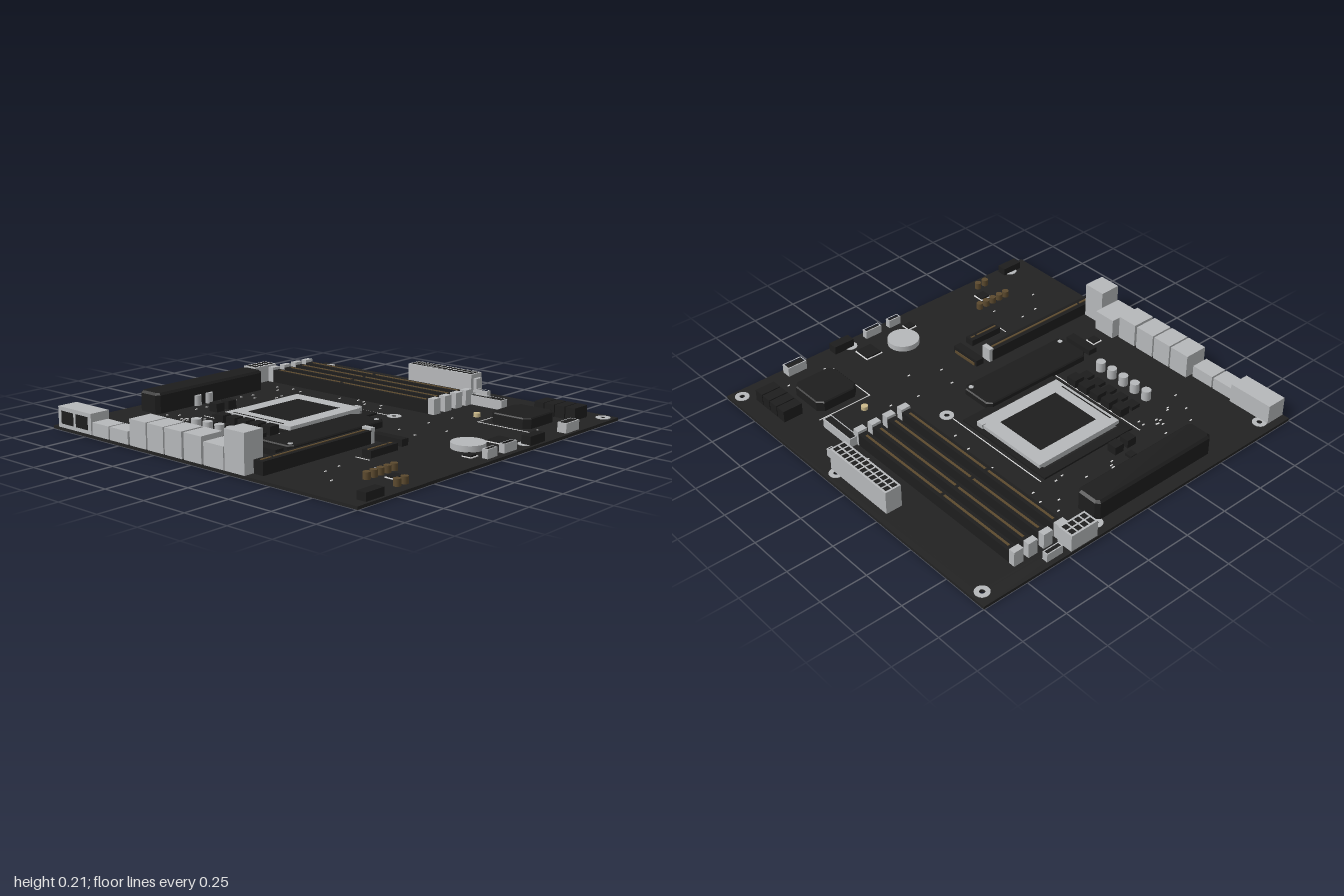
import * as THREE from 'three';

const mat = (name, color) => Object.assign(new THREE.MeshStandardMaterial({ color }), { name });

export function createModel() {
  const root = new THREE.Group();
  root.name = 'circuitBoard';
  const M = {
    board: mat('boardBlack', 0x222222),
    dark: mat('partBlack', 0x1d1d1d),
    silver: mat('lightGrey', 0xb6b8ba),
    white: mat('printWhite', 0xdedede),
    brown: mat('contactBrown', 0x5c4a2e),
    gold: mat('paleGold', 0xcbb98a),
  };
  const T = 0.015; // board thickness

  const add = (name, geo, m, parent = root) => {
    const mesh = new THREE.Mesh(geo, m);
    mesh.name = name;
    parent.add(mesh);
    return mesh;
  };
  const group = (name) => {
    const g = new THREE.Group();
    g.name = name;
    root.add(g);
    return g;
  };
  // Box given by its extents
  const box = (name, m, x0, x1, z0, z1, y1, y0 = T, parent = root) =>
    add(name, new THREE.BoxGeometry(x1 - x0, y1 - y0, z1 - z0)
      .translate((x0 + x1) / 2, (y0 + y1) / 2, (z0 + z1) / 2), m, parent);
  const disc = (name, m, x, z, r, y1, y0 = T, parent = root, n = 20) =>
    add(name, new THREE.CylinderGeometry(r, r, y1 - y0, n).translate(x, (y0 + y1) / 2, z), m, parent);
  // Rectangle outline in plan with cut corners
  const outline = (P, x0, x1, z0, z1, c = 0) => new P([
    [x0 + c, z0], [x1 - c, z0], [x1, z0 + c], [x1, z1 - c],
    [x1 - c, z1], [x0 + c, z1], [x0, z1 - c], [x0, z0 + c],
  ].filter((p, i) => c > 0 || i % 2 === 0).map(([x, z]) => new THREE.Vector2(x, -z)));
  const rise = (shape, y0, y1, bevel = 0) => new THREE.ExtrudeGeometry(shape, {
    depth: y1 - y0 - bevel, bevelEnabled: bevel > 0, bevelThickness: bevel, bevelSize: bevel,
    bevelOffset: -bevel, bevelSegments: 1, curveSegments: 16,
  }).rotateX(-Math.PI / 2).translate(0, y0, 0);
  const frame = (name, m, x0, x1, z0, z1, y1, w, y0 = T, parent = root) => {
    const s = outline(THREE.Shape, x0, x1, z0, z1);
    s.holes.push(outline(THREE.Path, x0 + w, x1 - w, z0 + w, z1 - w));
    return add(name, rise(s, y0, y1), m, parent);
  };
  const slab = (name, x0, x1, z0, z1, y1, cut, bevel) =>
    add(name, rise(outline(THREE.Shape, x0, x1, z0, z1, cut), T, y1, bevel), M.dark);

  // Board with mounting holes and ringed pads
  const holes = [[-0.865, -0.925], [0.265, -0.925], [0.945, -0.925], [0.265, 0.14],
    [0.945, 0.14], [-0.865, 0.945], [0.265, 0.945], [0.945, 0.945]];
  const circle = (P, x, z, r) => new P().absarc(x, -z, r, 0, Math.PI * 2);
  const plan = outline(THREE.Shape, -1, 1, -1, 1);
  holes.forEach(([x, z]) => plan.holes.push(circle(THREE.Path, x, z, 0.014)));
  add('board', rise(plan, 0, T), M.board);
  holes.forEach(([x, z]) => {
    const ring = circle(THREE.Shape, x, z, 0.037);
    ring.holes.push(circle(THREE.Path, x, z, 0.014));
    add('mountingPad', rise(ring, T, T + 0.003), M.silver);
  });

  // Rear ports: z start, z end, inner x, height
  const ports = group('rearPorts');
  [[-0.96, -0.71, -0.885, 0.12], [-0.70, -0.58, -0.9, 0.08], [-0.57, -0.44, -0.9, 0.08],
    [-0.425, -0.31, -0.865, 0.145], [-0.30, -0.19, -0.865, 0.145], [-0.18, -0.065, -0.865, 0.145],
    [-0.05, 0.065, -0.865, 0.145], [0.08, 0.208, -0.83, 0.125], [0.215, 0.34, -0.88, 0.21],
  ].forEach(([z0, z1, x1, h]) => box('port', M.silver, -0.998, x1, z0, z1, h, T, ports));
  [[-0.935, -0.845], [-0.825, -0.735]].forEach(([z0, z1]) =>
    box('portOpening', M.dark, -1, -0.995, z0, z1, 0.1, 0.035, ports));

  // Heat sinks
  slab('upperHeatSink', -0.51, 0.255, -0.925, -0.78, 0.122, 0.02, 0.012);
  slab('lowerHeatSink', -0.6, 0.08, 0.03, 0.24, 0.05, 0.025, 0.006);
  slab('chipsetHeatSink', 0.485, 0.73, 0.57, 0.805, 0.07, 0.03, 0.006);
  [-0.565, 0.05].forEach((x) => disc('heatSinkScrew', M.silver, x, 0.205, 0.013, 0.053, 0.045));

  // Processor socket
  const socket = group('processorSocket');
  frame('socketBase', M.dark, -0.35, 0.235, -0.55, 0.05, 0.025, 0.05, T, socket);
  frame('socketBracket', M.silver, -0.325, 0.205, -0.48, -0.025, 0.045, 0.08, T, socket);
  box('processor', M.dark, -0.24, 0.12, -0.4, -0.1, 0.044, T, socket);
  box('socketLever', M.silver, 0.192, 0.212, -0.07, -0.03, 0.05, T, socket);
  box('bracketSlit', M.dark, -0.308, -0.302, -0.44, -0.09, 0.047, 0.04, socket);

  // Memory slots
  [0.444, 0.535, 0.626, 0.711].forEach((x) => {
    const slot = group('memorySlot');
    box('slotBody', M.dark, x - 0.025, x + 0.025, -0.87, 0.24, 0.082, T, slot);
    box('slotContacts', M.brown, x - 0.006, x + 0.006, -0.835, -0.385, 0.085, 0.08, slot);
    box('slotContacts', M.brown, x - 0.006, x + 0.006, -0.365, 0.205, 0.085, 0.08, slot);
    [[-0.9, -0.865], [0.237, 0.275]].forEach(([z0, z1]) =>
      box('slotClip', M.silver, x - 0.027, x + 0.027, z0, z1, 0.097, T, slot));
  });

  // Power connectors with a grid of sockets
  const power = (name, x0, x1, z0, z1, h, nx, nz) => {
    const g = group(name);
    box('connectorBody', M.silver, x0, x1, z0, z1, h, T, g);
    const dx = (x1 - x0 - 0.012) / nx, dz = (z1 - z0 - 0.012) / nz;
    for (let i = 0; i < nx; i++) for (let j = 0; j < nz; j++) {
      const x = x0 + 0.006 + i * dx, z = z0 + 0.006 + j * dz;
      box('pinSocket', M.dark, x + 0.005, x + dx - 0.005, z + 0.005, z + dz - 0.005, h + 0.001, h - 0.004, g);
    }
    return g;
  };
  const main = power('mainPowerConnector', 0.855, 0.945, -0.25, 0.18, 0.139, 2, 12);
  box('latch', M.silver, 0.875, 0.925, 0.18, 0.2, 0.115, 0.04, main);
  power('processorPowerConnector', 0.32, 0.482, -0.995, -0.905, 0.105, 4, 2);

  // Expansion slots
  const slot = group('expansionSlot');
  box('slotBody', M.dark, -0.945, -0.215, 0.345, 0.403, 0.08, T, slot);
  box('slotContacts', M.brown, -0.93, -0.865, 0.368, 0.38, 0.083, 0.078, slot);
  box('slotContacts', M.brown, -0.85, -0.235, 0.368, 0.38, 0.083, 0.078, slot);
  box('slotLatch', M.silver, -0.222, -0.195, 0.345, 0.403, 0.092, T, slot);
  box('smallSlot', M.dark, -0.415, -0.22, 0.515, 0.568, 0.05);
  box('smallSlotContacts', M.brown, -0.405, -0.275, 0.537, 0.547, 0.053, 0.048);
  box('smallSlotContacts', M.brown, -0.26, -0.235, 0.537, 0.547, 0.053, 0.048);
  box('sideSlot', M.dark, -0.165, -0.118, 0.36, 0.545, 0.05);
  box('sideSlotContacts', M.brown, -0.118, -0.113, 0.375, 0.53, 0.03);

  // Voltage parts beside the socket
  for (let i = 0; i < 5; i++) {
    const z = -0.415 + i * 0.082;
    disc('capacitor', M.silver, -0.583, z, 0.025, 0.07);
    box('powerChip', M.dark, -0.51, -0.455, z - 0.028, z + 0.028, 0.035);
    box('choke', M.dark, -0.432, -0.372, z - 0.03, z + 0.03, 0.06);
    disc('audioCapacitor', M.brown, -0.675 + i * 0.0465, 0.768, 0.018, 0.05);
  }
  [-0.235, -0.155].forEach((x) => disc('capacitor', M.silver, x, -0.782, 0.023, 0.07));
  [-0.255, -0.172].forEach((x) => box('choke', M.dark, x - 0.028, x + 0.028, -0.64, -0.585, 0.06));
  box('powerChip', M.dark, -0.22, -0.18, -0.71, -0.67, 0.03);
  [-0.665, -0.615].forEach((x) => disc('audioCapacitor', M.brown, x, 0.932, 0.018, 0.05));
  disc('battery', M.silver, 0.032, 0.785, 0.085, 0.045, T, root, 32);
  disc('standoff', M.gold, 0.54, 0.455, 0.018, 0.035);

  // Drive connectors
  for (let i = 0; i < 4; i++) {
    const z = 0.628 + i * 0.063;
    box('driveConnector', M.dark, 0.795, 0.905, z, z + 0.057, 0.078);
  }

  // Headers: open light shells, then solid dark blocks
  [[0.73, 0.78, 0.25, 0.47, 0.065], [0.87, 0.9, 0.2, 0.275, 0.06], [0.515, 0.61, -0.975, -0.943, 0.06],
    [-0.07, 0.005, 0.94, 0.972, 0.06], [0.06, 0.16, 0.94, 0.972, 0.06], [0.555, 0.668, 0.93, 0.982, 0.065],
  ].forEach(([x0, x1, z0, z1, h]) => {
    const g = group('header');
    frame('headerShell', M.silver, x0, x1, z0, z1, h, 0.006, T, g);
    box('headerCore', M.dark, x0 + 0.006, x1 - 0.006, z0 + 0.006, z1 - 0.006, h - 0.006, T, g);
  });
  [[-0.93, -0.812, 0.932, 0.985, 0.055], [0.25, 0.37, 0.932, 0.985, 0.06], [-0.68, -0.627, 0.045, 0.22, 0.045]]
    .forEach(([x0, x1, z0, z1, h]) => box('darkHeader', M.dark, x0, x1, z0, z1, h));

  // Small chips with printed borders
  [[-0.575, 0.847, 0.034], [-0.085, 0.883, 0.028], [0.227, 0.832, 0.051], [-0.74, 0.127, 0.03]].forEach(([x, z, r]) => {
    box('chip', M.dark, x - r + 0.006, x + r - 0.006, z - r + 0.006, z + r - 0.006, 0.028);
    frame('chipBorder', M.white, x - r, x + r, z - r, z + r, T + 0.004, 0.006);
  });

  // Printed lines
  [[-0.376, -0.371, -0.58, 0.03], [0.256, 0.261, -0.55, 0.1], [0.45, 0.455, 0.525, 0.84],
    [0.45, 0.765, 0.525, 0.53], [-0.445, -0.44, 0.5, 0.585],
  ].forEach(([x0, x1, z0, z1]) => box('printedLine', M.white, x0, x1, z0, z1, T + 0.002));

  // Tiny surface parts scattered over zones: x range, z range, count
  let seed = 7;
  const rnd = () => (seed = (seed * 16807) % 2147483647) / 2147483647;
  const specks = group('surfaceParts');
  [[-0.72, -0.4, -0.75, -0.48, 14], [-0.36, 0.4, -0.77, -0.57, 18], [0.26, 0.4, -0.5, 0.2, 6],
    [-0.85, -0.45, 0.45, 0.72, 4], [0.0, 0.42, 0.3, 0.68, 5], [0.75, 0.84, -0.8, 0.2, 3], [0.48, 0.78, 0.84, 0.92, 3],
  ].forEach(([x0, x1, z0, z1, n]) => {
    for (let i = 0; i < n; i++) {
      const x = x0 + rnd() * (x1 - x0), z = z0 + rnd() * (z1 - z0);
      box('surfacePart', M.white, x, x + 0.014, z, z + 0.006, T + 0.004, T, specks);
    }
  });
  return root;
}
